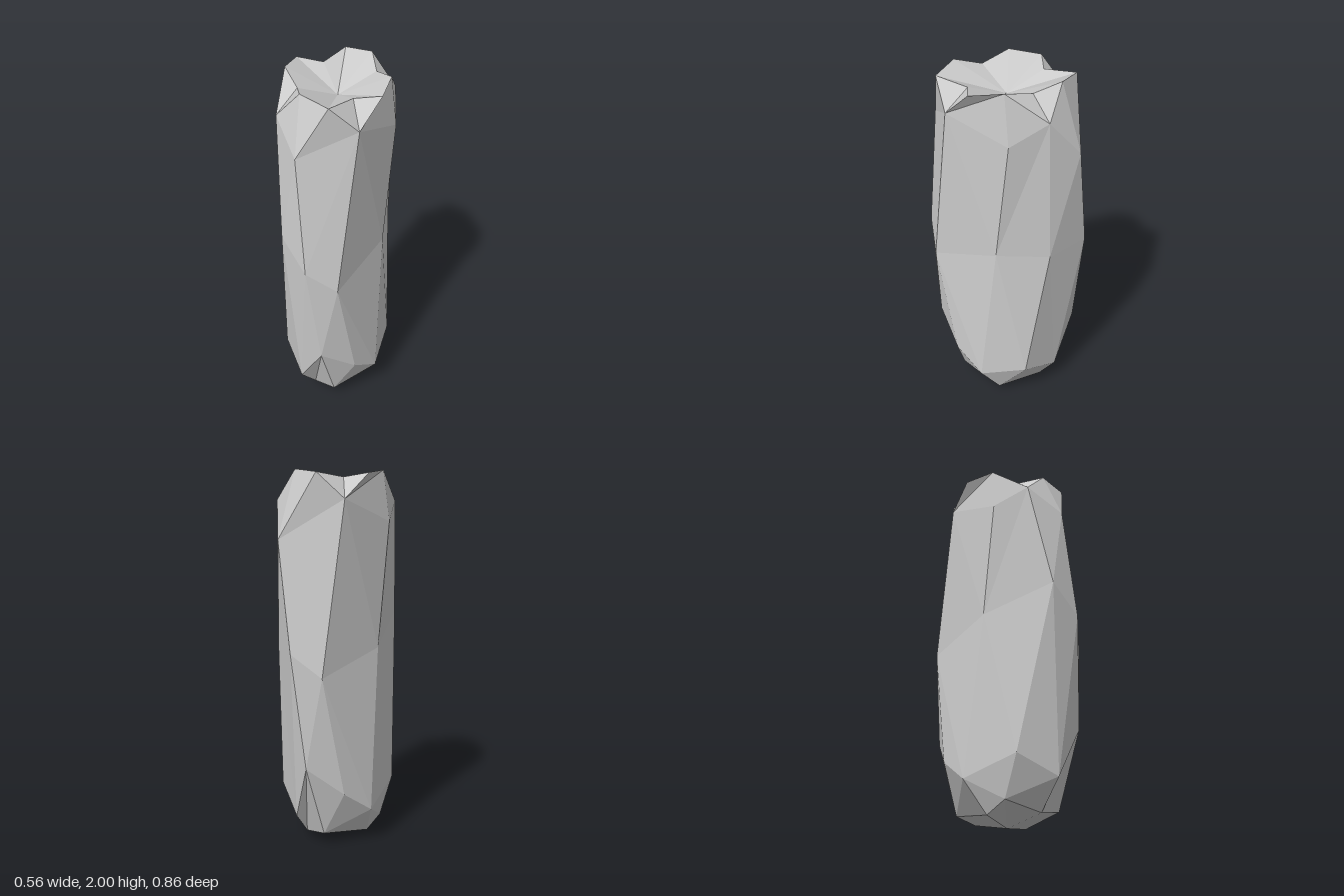
import * as THREE from 'three';

const TAU = Math.PI * 2;
const angle = ([x, , z]) => (Math.atan2(x, z) + TAU) % TAU;
const byAngle = (points) => [...points].sort((p, q) => angle(p) - angle(q));
// Adds the half-turn copy of each point.
const twice = (points) => byAngle([...points, ...points.map(([x, y, z]) => [-x, y, -z])]);

// Stitches an upper and a lower ring of any point counts, going round by angle.
function stitch(upper, lower) {
  const out = [];
  const at = (ring, i) => ring[i % ring.length];
  const turn = (ring, i) => (i > ring.length ? Infinity : angle(at(ring, i)) + (i === ring.length ? TAU : 0));
  const add = (...corners) => {
    const t = new THREE.Triangle(...corners.map((p) => new THREE.Vector3(...p)));
    if (t.getArea() > 1e-6) out.push(...corners.flat());
  };
  let i = 0, j = 0;
  while (i < upper.length || j < lower.length) {
    const a = at(upper, i), b = at(lower, j);
    if (turn(upper, i + 1) <= turn(lower, j + 1)) add(a, b, at(upper, ++i));
    else add(a, b, at(lower, ++j));
  }
  return out;
}

// Faceted mesh through a stack of rings, top to bottom.
function stack(name, rings) {
  const positions = [];
  for (let k = 0; k + 1 < rings.length; k++) positions.push(...stitch(rings[k], rings[k + 1]));
  const geometry = new THREE.BufferGeometry();
  geometry.setAttribute('position', new THREE.Float32BufferAttribute(positions, 3));
  geometry.computeVertexNormals();
  const mesh = new THREE.Mesh(geometry, new THREE.MeshStandardMaterial({ color: 0xcccccc, flatShading: true }));
  mesh.name = name;
  return mesh;
}

export function createModel() {
  // Four raised lobes around the top, with a notch between each pair
  const lobes = [[0.09, 1.98, 0.325], [0.27, 1.98, 0.12], [0.255, 2, -0.045], [0.07, 2, -0.28]];
  const notches = [[0.21, 1.85, 0.25], [0.21, 1.85, -0.25]];
  const valleys = [[0.14, 1.96, 0.155], [0.14, 1.96, -0.155]];
  const rim = twice([...lobes, ...notches]);

  // Shoulder just below the lobes
  const shoulder = byAngle([
    ...twice([...notches, [0.28, 1.74, -0.07]]),
    [-0.055, 1.72, 0.385], [0.1, 1.65, -0.39],
  ]);
  // Middle, widest front to back
  const waist = byAngle([
    [0, 1.08, 0.43], [0.15, 0.96, 0.365], [0.26, 1.08, 0], [0.195, 1.07, -0.275],
    [0, 1.08, -0.43], [-0.15, 0.96, -0.365], [-0.26, 1.08, 0], [-0.155, 1.23, 0.365],
  ]);
  // Lower edge where the sides turn under
  const hip = byAngle([
    ...twice([[0.06, 0.47, 0.385], [0.21, 0.32, 0.25], [0.28, 0.2, 0.09]]),
    [0.26, 0.27, -0.17], [0.06, 0.16, -0.31], [-0.25, 0.3, 0.19], [-0.09, 0.2, 0.335],
  ]);
  // Underside
  const foot = byAngle([
    ...twice([[0.2, 0.03, 0], [0.08, 0.07, 0.25], [-0.055, 0.045, 0.22]]),
    [-0.22, 0.09, 0.11],
  ]);

  const group = new THREE.Group();
  group.name = 'facetedColumn';
  group.add(
    stack('crown', [[[0, 1.88, 0]], twice([...lobes, ...valleys]), rim]),
    stack('body', [rim, shoulder, waist, hip, foot, [[0, 0, 0]]]),
  );
  return group;
}
